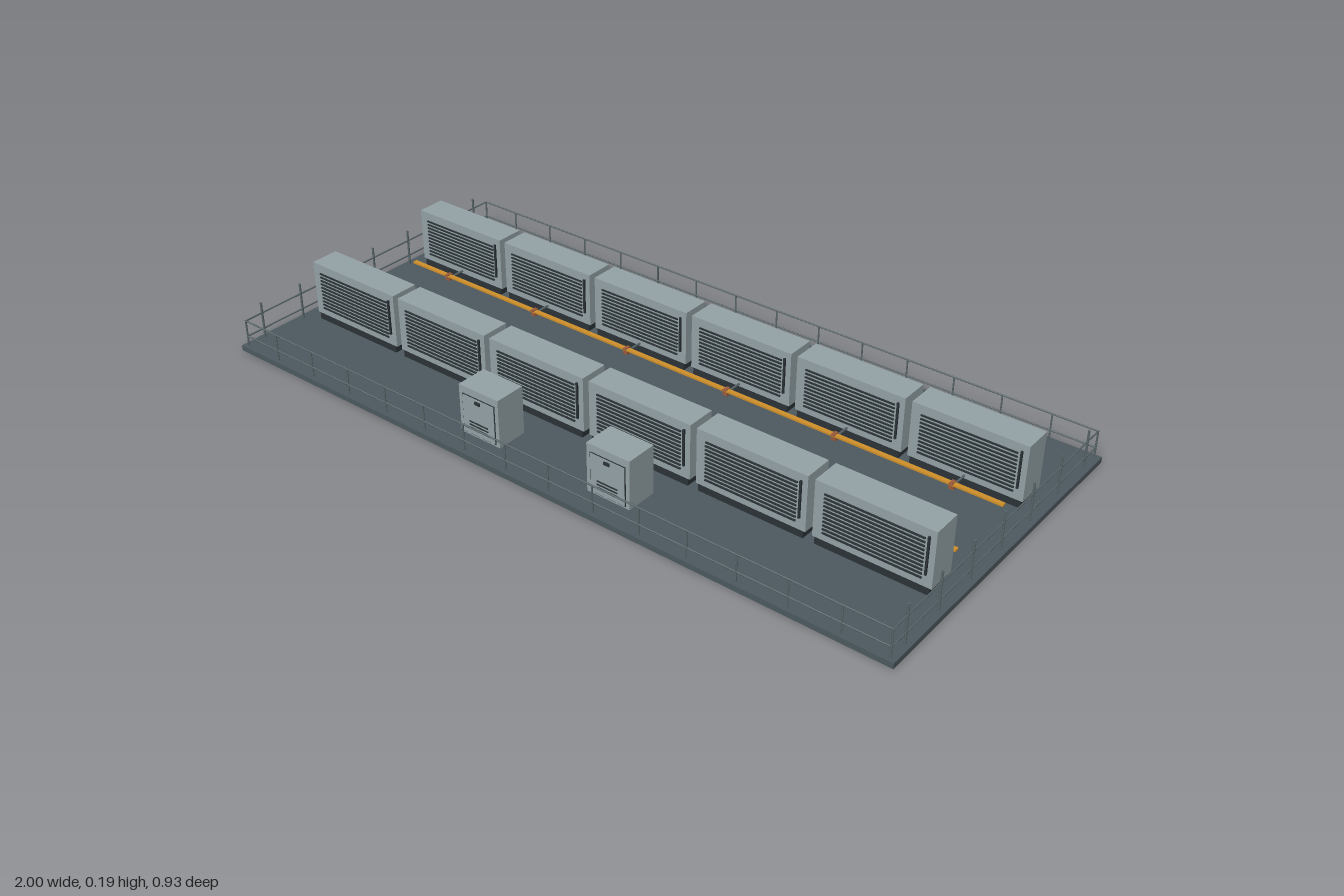
import * as THREE from 'three';

const mat = (name, color) => {
  const m = new THREE.MeshStandardMaterial({ color });
  m.name = name;
  return m;
};

export function createModel() {
  const model = new THREE.Group();
  model.name = 'batteryYard';
  const deckGrey = mat('deckGrey', 0x4d5a60);
  const bodyGrey = mat('bodyGrey', 0x94a2a6);
  const dark = mat('darkSteel', 0x2b3336);
  const steel = mat('railSteel', 0x59666a);
  const orange = mat('busbarOrange', 0xd0902a);
  const copper = mat('copper', 0x9a5a3c);

  const box = (parent, name, material, w, h, d, x, y, z) => {
    const m = new THREE.Mesh(new THREE.BoxGeometry(w, h, d), material);
    m.name = name;
    m.position.set(x, y, z);
    parent.add(m);
    return m;
  };
  // Round bar running along one axis
  const bar = (parent, name, material, axis, r, len, x, y, z) => {
    const m = new THREE.Mesh(new THREE.CylinderGeometry(r, r, len, 8), material);
    m.name = name;
    if (axis === 'x') m.rotation.z = Math.PI / 2;
    if (axis === 'z') m.rotation.x = Math.PI / 2;
    m.position.set(x, y, z);
    parent.add(m);
  };

  // Deck slab
  box(model, 'deck', deckGrey, 2, 0.015, 0.934, 0, 0.0075, 0);

  // Container with plinth, louvres on both long faces and a door handle
  const makeUnit = (x, z) => {
    const g = new THREE.Group();
    g.name = 'batteryContainer';
    g.position.set(x, 0, z);
    box(g, 'plinth', dark, 0.29, 0.02, 0.078, 0, 0.025, 0);
    box(g, 'body', bodyGrey, 0.302, 0.15, 0.08, 0, 0.11, 0);
    for (const s of [-1, 1]) {
      for (let i = 0; i < 11; i++) {
        box(g, 'louvre', dark, 0.25, 0.0035, 0.005, 0, 0.056 + i * 0.0103, s * 0.0415);
      }
    }
    box(g, 'handle', dark, 0.005, 0.1, 0.005, 0.134, 0.118, 0.0425);
    model.add(g);
  };

  for (const s of [-1, 1]) {
    const z = s * 0.105;
    for (let i = 0; i < 6; i++) {
      const x = -0.8 + i * 0.32;
      makeUnit(x, s * 0.2);
      // Feed pipe and clamp from each container to the busbar
      bar(model, 'feedPipe', steel, 'z', 0.003, 0.056, x, 0.042, s * 0.136);
      box(model, 'clamp', copper, 0.014, 0.013, 0.01, x, 0.0435, z);
      box(model, 'clampStrap', copper, 0.01, 0.003, 0.02, x, 0.0535, z);
    }
    box(model, 'busbar', orange, 1.865, 0.005, 0.013, 0, 0.0505, z);
  }

  // Two control cabinets near the front edge
  for (const x of [-0.202, 0.198]) {
    const g = new THREE.Group();
    g.name = 'controlCabinet';
    g.position.set(x, 0, 0.354);
    box(g, 'cabinetBody', bodyGrey, 0.126, 0.133, 0.086, 0, 0.0815, 0);
    box(g, 'doorSeam', dark, 0.104, 0.108, 0.002, 0, 0.074, 0.0435);
    box(g, 'door', bodyGrey, 0.1, 0.104, 0.004, 0, 0.074, 0.044);
    box(g, 'latch', dark, 0.016, 0.008, 0.005, 0, 0.117, 0.047);
    for (let i = 0; i < 3; i++) {
      box(g, 'vent', dark, 0.06, 0.003, 0.003, 0, 0.04 + i * 0.009, 0.0465);
    }
    model.add(g);
  }

  // Guard rails around the deck
  const railX = 0.985, railZ = 0.455;
  for (const s of [-1, 1]) {
    for (const y of [0.043, 0.089]) {
      bar(model, 'longRail', steel, 'x', 0.0022, railX * 2, 0, y, s * railZ);
      bar(model, 'endRail', steel, 'z', 0.0022, railZ * 2, s * railX, y, 0);
    }
    for (let i = 0; i < 14; i++) {
      bar(model, 'longPost', steel, 'y', 0.0022, 0.076, -0.8667 + i * 0.13333, 0.052, s * railZ);
    }
    for (const c of [-1, 1]) {
      bar(model, 'cornerPost', steel, 'y', 0.0025, 0.076, c * railX, 0.052, s * railZ);
    }
    for (let i = -3; i <= 3; i++) {
      bar(model, 'endPost', steel, 'y', 0.003, 0.105, s * railX, 0.0665, i * 0.1333);
    }
  }
  return model;
}
